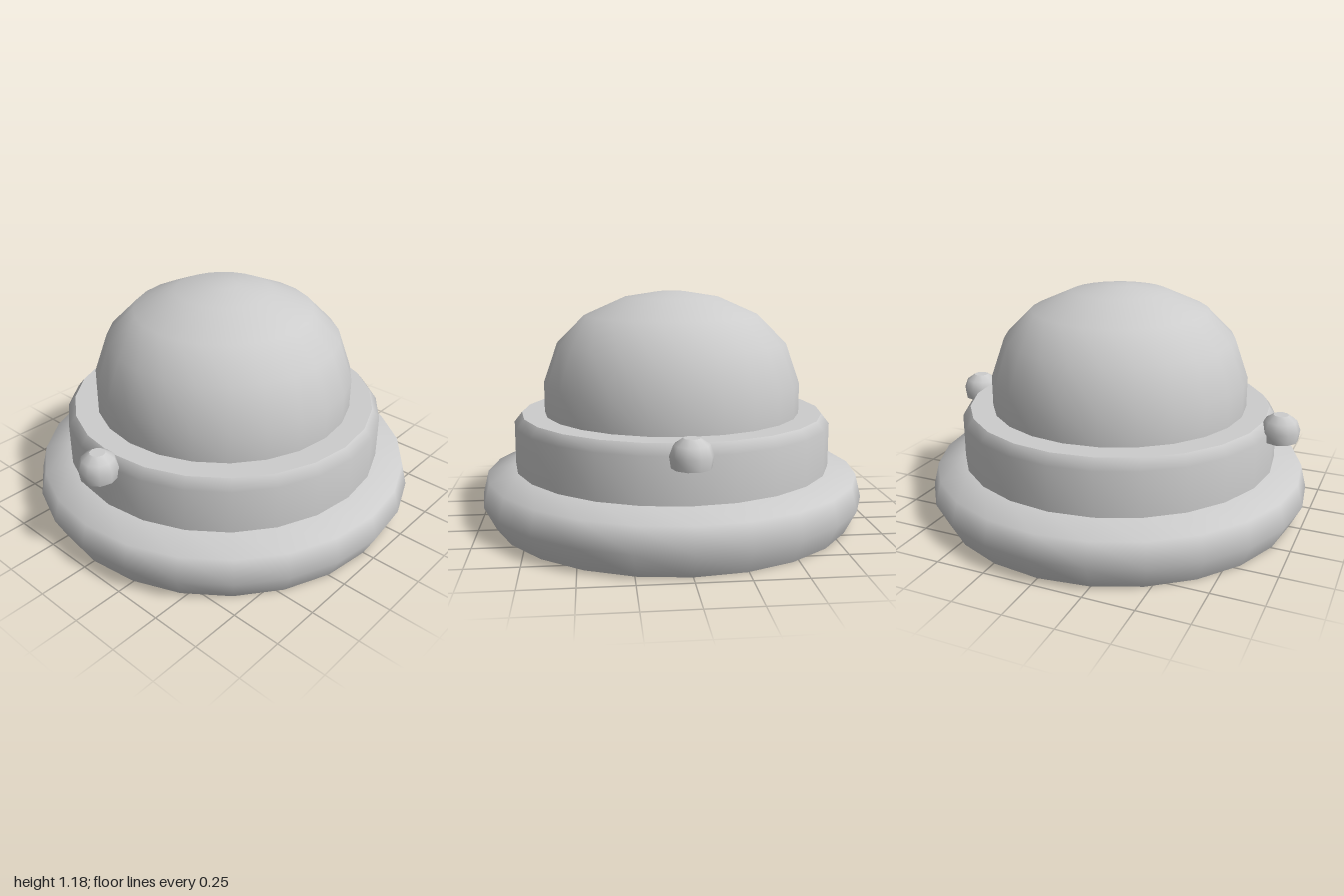
import * as THREE from 'three';

export function createModel() {
  const group = new THREE.Group();
  const grey = new THREE.MeshStandardMaterial({ color: 0xcccccc });
  grey.name = 'light grey';

  // Revolves a bottom-to-top [radius, height] profile
  function turned(name, profile, sides = 24, x = 0) {
    const points = profile.map(([r, y]) => new THREE.Vector2(r, y));
    const mesh = new THREE.Mesh(new THREE.LatheGeometry(points, sides), grey);
    mesh.name = name;
    mesh.position.x = x;
    group.add(mesh);
  }

  // Wide foot with a flat underside
  turned('footUnderside', [[0, 0], [0.94, 0]]);
  turned('foot', [[0.94, 0], [1, 0.12], [0.97, 0.24], [0.825, 0.28]]);

  // Collar with a bevelled rim and a flat ledge
  turned('collar', [[0.825, 0.27], [0.825, 0.505], [0.785, 0.555]]);
  turned('collarLedge', [[0.785, 0.555], [0.65, 0.555]]);

  // Rounded dome with a small flat crown
  turned('dome', [
    [0.667, 0.55], [0.667, 0.71], [0.595, 0.915],
    [0.455, 1.055], [0.245, 1.148], [0.07, 1.176], [0, 1.176],
  ]);

  // Small knobs on both sides
  for (const [side, x] of [['left', 0.863], ['right', -0.863]]) {
    turned(side + 'KnobUnderside', [[0, 0.466], [0.09, 0.466]], 10, x);
    turned(side + 'Knob', [[0.09, 0.466], [0.098, 0.52], [0.08, 0.568], [0.038, 0.597]], 10, x);
    turned(side + 'KnobCap', [[0.038, 0.597], [0, 0.597]], 10, x);
  }
  return group;
}
